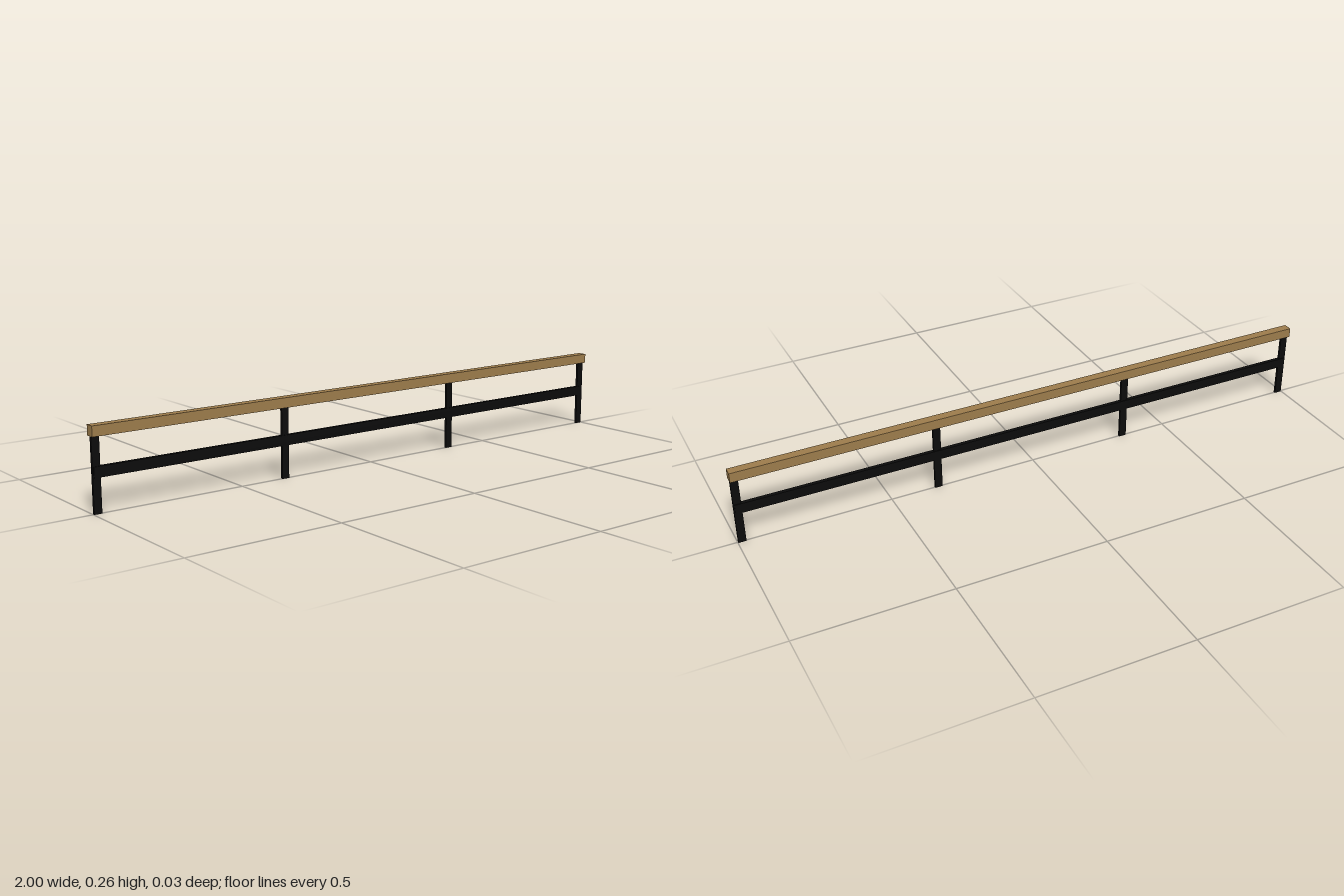
import * as THREE from 'three';

export function createModel() {
  const group = new THREE.Group();
  const wood = new THREE.MeshStandardMaterial({ color: 0x9b7b4b });
  const metal = new THREE.MeshStandardMaterial({ color: 0x0b0b0b });

  // Box centred on z = 0, placed by its x centre and its bottom and top heights
  function bar(name, material, x, bottom, top, width, depth) {
    const mesh = new THREE.Mesh(new THREE.BoxGeometry(width, top - bottom, depth), material);
    mesh.name = name;
    mesh.position.set(x, (bottom + top) / 2, 0);
    group.add(mesh);
  }

  // Wooden handrail and flat metal middle rail
  bar('handrail', wood, 0, 0.227, 0.259, 2, 0.03);
  bar('middleRail', metal, 0, 0.106, 0.139, 1.99, 0.013);

  // Flat posts: two at the ends, two between
  for (const x of [-0.986, -0.341, 0.339, 0.986]) {
    bar('post', metal, x, 0, 0.228, 0.025, 0.008);
  }
  return group;
}
